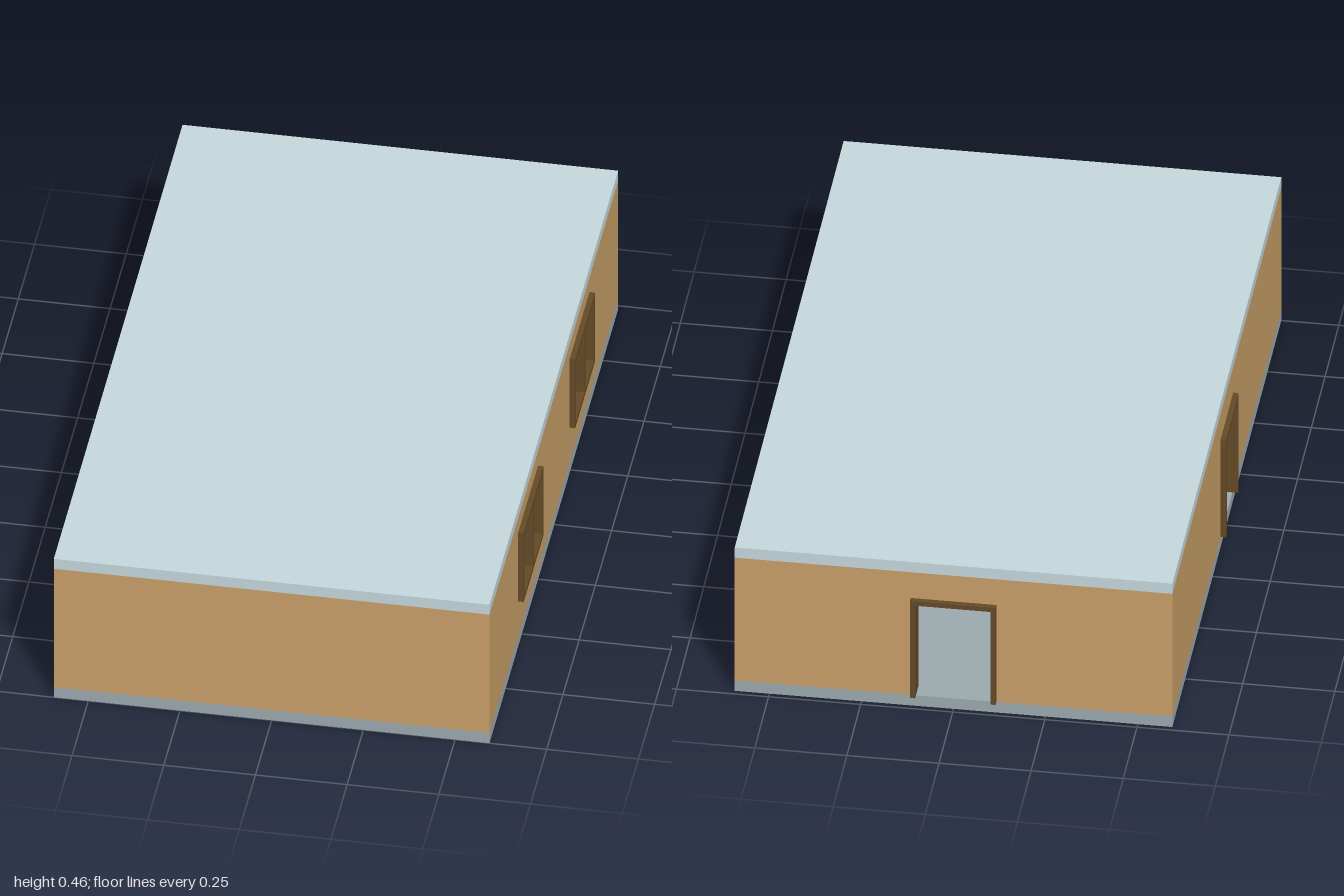
import * as THREE from 'three';

const W = 1.188, L = 1.985;            // footprint
const BASE = 0.034, WALL_H = 0.396, ROOF = 0.033;
const T = 0.033, OUT = 0.015;          // wall thickness, frame projection
const BAR = 0.014;                     // frame bar width

const mat = (color) => new THREE.MeshStandardMaterial({ color });

export function createModel() {
  const walls = mat(0xc89f68), slab = mat(0x9ba9ae), roofMat = mat(0xc4d7dc);
  const wood = mat(0x644a27), glass = mat(0x80bbca);

  function box(parent, name, material, size, pos) {
    const mesh = new THREE.Mesh(new THREE.BoxGeometry(...size), material);
    mesh.name = name;
    mesh.position.set(...pos);
    parent.add(mesh);
    return mesh;
  }

  // Frame bars around an opening; windows also get a sill, mullion and panes
  function opening(parent, { x, y, w, h, isWindow }) {
    const g = new THREE.Group();
    g.name = isWindow ? 'window' : 'doorFrame';
    g.position.set(x, y, -T / 2);
    const depth = T + 2 * OUT;
    for (const s of [-1, 1]) {
      box(g, 'jamb', wood, [BAR, h, depth], [s * (w - BAR) / 2, h / 2, 0]);
    }
    box(g, 'head', wood, [w - 2 * BAR, BAR, depth], [0, h - BAR / 2, 0]);
    if (isWindow) {
      box(g, 'sill', wood, [w - 2 * BAR, BAR, depth], [0, BAR / 2, 0]);
      box(g, 'mullion', wood, [BAR, h - 2 * BAR, depth], [0, h / 2, 0]);
      const pane = (w - 3 * BAR) / 2;
      for (const s of [-1, 1]) {
        box(g, 'pane', glass, [pane, h - 2 * BAR, 0.007], [s * (pane + BAR) / 2, h / 2, 0]);
      }
    }
    parent.add(g);
  }

  // Wall panel: local x runs along it, local z = 0 is its outer face
  function wall(name, length, pos, turn, openings = []) {
    const g = new THREE.Group();
    g.name = name;
    g.position.set(...pos);
    g.rotation.y = turn;
    const a = length / 2;
    const shape = new THREE.Shape().moveTo(-a, 0);
    for (const o of openings) {
      const l = o.x - o.w / 2, r = o.x + o.w / 2;
      if (o.isWindow) {
        const hole = new THREE.Path().moveTo(l, o.y).lineTo(l, o.y + o.h);
        hole.lineTo(r, o.y + o.h).lineTo(r, o.y).closePath();
        shape.holes.push(hole);
      } else {
        shape.lineTo(l, 0).lineTo(l, o.h).lineTo(r, o.h).lineTo(r, 0);
      }
      opening(g, o);
    }
    shape.lineTo(a, 0).lineTo(a, WALL_H).lineTo(-a, WALL_H).closePath();
    const geo = new THREE.ExtrudeGeometry(shape, { depth: T, bevelEnabled: false });
    geo.translate(0, 0, -T);
    const mesh = new THREE.Mesh(geo, walls);
    mesh.name = 'wallPanel';
    g.add(mesh);
    body.add(g);
  }

  const model = new THREE.Group();
  model.name = 'house';
  const body = new THREE.Group();
  body.name = 'building';
  body.position.z = OUT / 2; // the rear door frame sticks out at -z
  model.add(body);

  // Floor slab and flat roof
  box(body, 'floorSlab', slab, [W, BASE, L], [0, BASE / 2, 0]);
  box(body, 'roof', roofMat, [W, ROOF, L], [0, BASE + WALL_H + ROOF / 2, 0]);

  // Four walls with two doorways and two windows
  const door = { x: 0, y: 0, w: 0.232, h: 0.313, isWindow: false };
  const windows = [-0.397, 0.397].map((x) => ({ x, y: 0.117, w: 0.306, h: 0.23, isWindow: true }));
  const endLength = W - 2 * T;
  wall('frontWall', endLength, [0, BASE, L / 2], 0);
  wall('backWall', endLength, [0, BASE, -L / 2], Math.PI, [door]);
  wall('leftWall', L, [W / 2, BASE, 0], Math.PI / 2, windows);
  wall('rightWall', L, [-W / 2, BASE, 0], -Math.PI / 2, [door]);

  return model;
}
